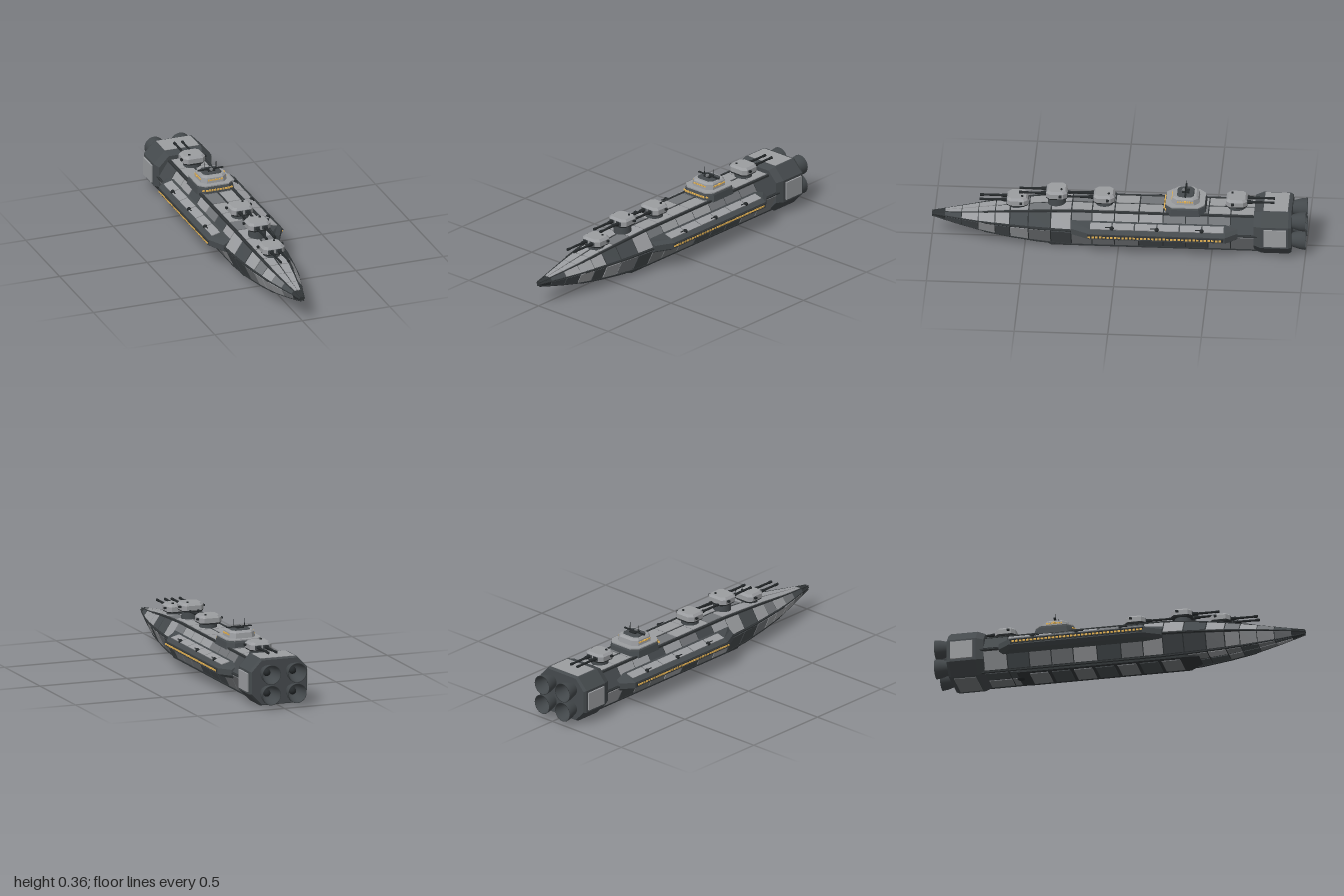
import * as THREE from 'three';
import { mergeGeometries } from 'three/addons/utils/BufferGeometryUtils.js';

const mat = (name, color, side = THREE.FrontSide) => {
  const m = new THREE.MeshStandardMaterial({ color, side });
  m.name = name;
  return m;
};
const V = (x, y, z) => new THREE.Vector3(x, y, z);

// Flat-faced solid through rings of points, counter-clockwise seen along the direction of travel
function loft(rings) {
  const p = [];
  const tri = (...vs) => vs.forEach(v => p.push(v.x, v.y, v.z));
  const n = rings[0].length, last = rings[rings.length - 1];
  for (let i = 0; i < rings.length - 1; i++) for (let j = 0; j < n; j++) {
    const k = (j + 1) % n, a = rings[i][j], b = rings[i][k], c = rings[i + 1][k], d = rings[i + 1][j];
    tri(a, b, c); tri(a, c, d);
  }
  for (let j = 1; j < n - 1; j++) {
    tri(last[0], last[j], last[j + 1]);
    tri(rings[0][0], rings[0][j + 1], rings[0][j]);
  }
  const g = new THREE.BufferGeometry();
  g.setAttribute('position', new THREE.Float32BufferAttribute(p, 3));
  g.computeVertexNormals();
  return g;
}

const octagon = (hx, hy, cx, cy = cx) => [[hx, cy - hy], [hx, hy - cy], [hx - cx, hy], [cx - hx, hy],
  [-hx, hy - cy], [-hx, cy - hy], [cx - hx, -hy], [hx - cx, -hy]];
// Stacked octagons going up: each level is [y, halfX, halfZ, chamfer]
const stack = levels => loft(levels.map(([y, hx, hz, c]) => octagon(hx, hz, c).map(([u, v]) => V(u, y, -v))));
const box = (w, h, d, x, y, z) => new THREE.BoxGeometry(w, h, d).translate(x, y, z);
const rodZ = (r0, r1, len, x, y, z, sides = 10) =>
  new THREE.CylinderGeometry(r1, r0, len, sides).rotateX(Math.PI / 2).translate(x, y, z + len / 2);

// Raised plate on the quad a b c d, facing away from the ship's axis
function plate(a, b, c, d, t = 0.005, inset = 0.006) {
  const mid = a.clone().add(b).add(c).add(d).multiplyScalar(0.25);
  const n = c.clone().sub(a).cross(d.clone().sub(b)).normalize();
  let ring = [a, b, c, d];
  if (n.dot(V(mid.x, mid.y - 0.125, 0)) < 0) { n.negate(); ring = [d, c, b, a]; }
  const inner = ring.map(v => v.clone().add(mid.clone().sub(v).setLength(inset)));
  return loft([inner.map(v => v.clone().addScaledVector(n, -0.003)), inner.map(v => v.clone().addScaledVector(n, t))]);
}

function beam(a, b, r) {
  const len = a.distanceTo(b);
  const g = new THREE.CylinderGeometry(r, r, len, 6).toNonIndexed();
  g.computeVertexNormals();
  g.applyQuaternion(new THREE.Quaternion().setFromUnitVectors(V(0, 1, 0), b.clone().sub(a).normalize()));
  return g.translate(...a.clone().add(b).multiplyScalar(0.5).toArray());
}

export function createModel() {
  const model = new THREE.Group();
  model.name = 'spaceBattleship';
  const frame = mat('frameCharcoal', 0x303436), dark = mat('darkPlate', 0x454a4d), mid = mat('midPlate', 0x737679),
    light = mat('lightPlate', 0x9b9da0), gun = mat('gunBlack', 0x24282a), gold = mat('windowGold', 0xe6b455),
    bell = mat('nozzleSteel', 0x43484b, THREE.DoubleSide);
  const add = (parent, name, material, geos) => {
    const list = [].concat(geos).map(g => (g.index ? g.toNonIndexed() : g));
    const m = new THREE.Mesh(list.length > 1 ? mergeGeometries(list) : list[0], material);
    m.name = name;
    parent.add(m);
    return m;
  };
  let seed = 11;
  const rand = () => (seed = (seed * 16807) % 2147483647) / 2147483647;

  // Hull: hexagonal section, [z, halfWidth, top, bottom]
  const stations = [[-0.75, 0.152, 0.222, 0.02], [0.25, 0.15, 0.222, 0.02], [0.42, 0.137, 0.21, 0.028],
    [0.58, 0.113, 0.193, 0.043], [0.72, 0.088, 0.174, 0.061], [0.85, 0.054, 0.156, 0.085],
    [0.94, 0.028, 0.145, 0.104], [1, 0.012, 0.138, 0.118]];
  const section = z => {
    let i = 0;
    while (i < stations.length - 2 && z > stations[i + 1][0]) i++;
    const s = stations[i], e = stations[i + 1], t = (z - s[0]) / (e[0] - s[0]);
    const [w, top, bot] = [1, 2, 3].map(k => s[k] + (e[k] - s[k]) * t);
    return [V(w, 0.13, z), V(w * 0.61, top, z), V(-w * 0.61, top, z),
      V(-w, 0.13, z), V(-w * 0.65, bot, z), V(w * 0.65, bot, z)];
  };
  add(model, 'hull', frame, loft(stations.map(s => section(s[0]))));

  // Longitudinal ribs on the six hull edges
  const ribs = [];
  for (let i = 0; i < stations.length - 1; i++) {
    const a = section(stations[i][0]), b = section(stations[i + 1][0]);
    for (let j = 0; j < 6; j++) ribs.push(beam(a[j], b[j], i > 3 ? 0.004 : 0.0065));
  }
  add(model, 'hullRibs', frame, ribs);

  // Patchwork armour plates
  const seams = [-0.73, -0.6, -0.48, -0.36, -0.24, -0.11, 0.02, 0.14, 0.25, 0.36, 0.48, 0.58, 0.66, 0.75, 0.84, 0.93];
  const patches = { light: [], mid: [], dark: [] };
  for (let i = 0; i < seams.length - 1; i++) {
    const A = section(seams[i]), B = section(seams[i + 1]);
    for (let j = 0; j < 6; j++) {
      const k = (j + 1) % 6;
      const spans = j === 1 || j === 4 ? [[0.06, 0.475], [0.525, 0.94]] : [[0.06, 0.94]];
      // share of dark and of dark-or-mid plates: deck, upper sides, lower sides and belly
      const [nDark, nMid] = j === 1 ? [0, 0.12] : j === 0 || j === 2 ? [0.28, 0.5] : [0.45, 0.85];
      for (const [s, e] of spans) {
        const r = rand(), tone = r < nDark ? 'dark' : r < nMid ? 'mid' : 'light';
        const at = (R, t) => R[j].clone().lerp(R[k], t);
        patches[tone].push(plate(at(A, s), at(A, e), at(B, e), at(B, s), 0.004, i > 11 ? 0.002 : 0.004));
      }
    }
  }
  add(model, 'lightArmour', light, patches.light);
  add(model, 'midArmour', mid, patches.mid);
  add(model, 'darkArmour', dark, patches.dark);

  // Keel with plates and a sensor dome
  const keelRing = (z, w, y) => [V(w, y, z), V(w, 0.04, z), V(-w, 0.04, z), V(-w, y, z)];
  add(model, 'keel', frame, loft([keelRing(-0.56, 0.08, 0.012), keelRing(-0.52, 0.088, 0.007),
    keelRing(0.36, 0.088, 0.007), keelRing(0.43, 0.05, 0.022)]));
  const keelPlates = { even: [], odd: [] };
  for (let i = 0; i < 7; i++) keelPlates[i % 2 ? 'odd' : 'even'].push(box(0.13, 0.006, 0.1, 0, 0.006, -0.44 + i * 0.12));
  add(model, 'keelPlates', mid, keelPlates.even);
  add(model, 'keelDarkPlates', dark, keelPlates.odd);
  add(model, 'keelDome', gun, new THREE.SphereGeometry(0.022, 16, 10).scale(1, 0.6, 1).translate(0, 0.0135, -0.55));

  // Side sponsons with windows and small point-defence guns
  for (const side of [1, -1]) {
    const g = new THREE.Group();
    g.name = side > 0 ? 'leftSponson' : 'rightSponson';
    g.scale.x = side;
    model.add(g);
    const ring = (z, X) => [[0.12, 0.095], [X - 0.025, 0.103], [X, 0.118], [X, 0.15], [X - 0.025, 0.165], [0.12, 0.182]]
      .map(([x, y]) => V(x, y, z));
    add(g, 'sponsonBody', dark, loft([ring(-0.64, 0.158), ring(-0.575, 0.21), ring(0.15, 0.21), ring(0.25, 0.16)]));
    add(g, 'windowBand', frame, [box(0.006, 0.02, 0.72, 0.21, 0.134, -0.205), box(0.01, 0.004, 0.73, 0.213, 0.143, -0.205)]);
    const windows = [], decks = [], domes = [];
    for (let z = -0.55; z < 0.16; z += 0.02) windows.push(box(0.005, 0.01, 0.013, 0.2152, 0.134, z));
    for (let i = 0; i < 6; i++) {
      const z0 = -0.57 + i * 0.12, z1 = z0 + 0.12;
      decks.push(plate(V(0.138, 0.178, z0), V(0.187, 0.1645, z0), V(0.187, 0.1645, z1), V(0.138, 0.178, z1), 0.004, 0.004));
    }
    for (const z of [-0.45, -0.21, 0.03]) {
      domes.push(new THREE.SphereGeometry(0.012, 12, 8).translate(0.179, 0.17, z));
      domes.push(rodZ(0.003, 0.003, 0.035, 0.179, 0.176, z, 6));
    }
    add(g, 'sponsonWindows', gold, windows);
    add(g, 'sponsonDeckPlates', light, decks);
    add(g, 'defenceGuns', gun, domes);
  }

  // Twin gun turrets: [z, deck height, base height, direction]
  const turret = (z, deck, y, dir) => {
    const g = new THREE.Group();
    g.name = 'gunTurret';
    g.position.set(0, y, z);
    g.rotation.y = dir > 0 ? 0 : Math.PI;
    model.add(g);
    const h = y - deck + 0.02;
    add(g, 'barbette', dark, new THREE.CylinderGeometry(0.046, 0.05, h, 20).translate(0, -h / 2, 0));
    add(g, 'turretSkirt', frame, stack([[-0.004, 0.056, 0.056, 0.02], [0.004, 0.06, 0.058, 0.02]]));
    add(g, 'turretHouse', light, stack([[0.004, 0.062, 0.056, 0.02], [0.03, 0.062, 0.056, 0.02], [0.042, 0.05, 0.046, 0.016]]));
    add(g, 'periscope', gun, new THREE.CylinderGeometry(0.006, 0.006, 0.008, 8).translate(0.025, 0.044, -0.025));
    const guns = [], faces = [];
    for (const s of [1, -1]) {
      faces.push(box(0.034, 0.022, 0.006, s * 0.023, 0.017, 0.055));
      guns.push(rodZ(0.0105, 0.009, 0.03, s * 0.023, 0.018, 0.055), rodZ(0.007, 0.0055, 0.13, s * 0.023, 0.018, 0.06),
        rodZ(0.0075, 0.0075, 0.02, s * 0.023, 0.018, 0.182), box(0.016, 0.01, 0.014, s * 0.066, 0.022, -0.02));
    }
    add(g, 'gunPorts', dark, faces);
    add(g, 'gunBarrels', gun, guns);
  };
  [[0.543, 0.198, 0.219, 1], [0.333, 0.216, 0.268, 1], [0.08, 0.222, 0.252, 1], [-0.628, 0.222, 0.252, -1]]
    .forEach(t => turret(...t));

  // Command tower
  const tower = new THREE.Group();
  tower.name = 'commandTower';
  tower.position.z = -0.355;
  model.add(tower);
  add(tower, 'towerBase', dark, stack([[0.215, 0.106, 0.113, 0.035], [0.25, 0.1, 0.107, 0.035], [0.262, 0.094, 0.1, 0.03]]));
  add(tower, 'towerDeck', light, stack([[0.261, 0.1, 0.104, 0.034], [0.267, 0.1, 0.104, 0.034]]));
  add(tower, 'bridge', light, stack([[0.266, 0.074, 0.074, 0.026], [0.295, 0.07, 0.07, 0.026], [0.304, 0.062, 0.058, 0.02]]));
  add(tower, 'bridgeRoof', dark, stack([[0.303, 0.054, 0.046, 0.016], [0.31, 0.05, 0.042, 0.015]]));
  // Lit windows along the tower front and around the bridge
  const lights = [];
  for (let i = -4; i <= 4; i++) {
    lights.push(box(0.011, 0.009, 0.006, i * 0.0155, 0.243, 0.1115));
    if (Math.abs(i) < 4) {
      lights.push(box(0.009, 0.008, 0.004, i * 0.0125, 0.284, 0.0725));
      for (const s of [1, -1]) lights.push(box(0.005, 0.008, 0.009, s * 0.0725, 0.284, i * 0.013));
    }
  }
  for (const s of [1, -1]) lights.push(box(0.01, 0.008, 0.012, s * 0.077, 0.287, 0), box(0.014, 0.007, 0.006, s * 0.08, 0.243, 0.104));
  add(tower, 'towerWindows', gold, lights);
  const masts = [box(0.146, 0.006, 0.01, 0, 0.316, 0), box(0.04, 0.008, 0.04, 0, 0.313, 0)];
  for (const s of [1, -1]) masts.push(new THREE.CylinderGeometry(0.0015, 0.002, 0.045, 6).translate(s * 0.032, 0.335, 0));
  add(tower, 'mastsAndAerials', gun, masts);
  add(tower, 'sensorCap', mid, new THREE.CylinderGeometry(0.009, 0.011, 0.01, 10).translate(0, 0.319, 0.012));

  // Engine block with raised plates
  const block = (z, s) => octagon(0.166 * s, 0.127 * s, 0.061 * s, 0.064 * s).map(([x, y]) => V(x, y + 0.134, z));
  add(model, 'engineBlock', dark, loft([block(-0.925, 0.95), block(-0.91, 1), block(-0.765, 1), block(-0.725, 0.9)]));
  const plates = [box(0.196, 0.006, 0.13, 0, 0.26, -0.84)];
  for (const s of [1, -1]) plates.push(box(0.012, 0.1, 0.12, s * 0.169, 0.134, -0.84));
  add(model, 'enginePlates', light, plates);
  add(model, 'engineBellyPlate', mid, box(0.17, 0.006, 0.12, 0, 0.007, -0.84));

  // Four exhaust bells
  const profile = [[0.032, 0], [0.04, 0.02], [0.05, 0.055], [0.054, 0.085], [0.05, 0.085], [0.044, 0.05], [0.03, 0.015], [0.001, 0.012]]
    .map(([r, y]) => new THREE.Vector2(r, y));
  for (const x of [-0.074, 0.074]) for (const y of [0.077, 0.189]) {
    add(model, 'exhaustBell', bell, new THREE.LatheGeometry(profile, 28).rotateX(-Math.PI / 2).translate(x, y, -0.915));
    add(model, 'exhaustCore', gun, new THREE.SphereGeometry(0.02, 12, 8).translate(x, y, -0.93));
  }
  return model;
}
